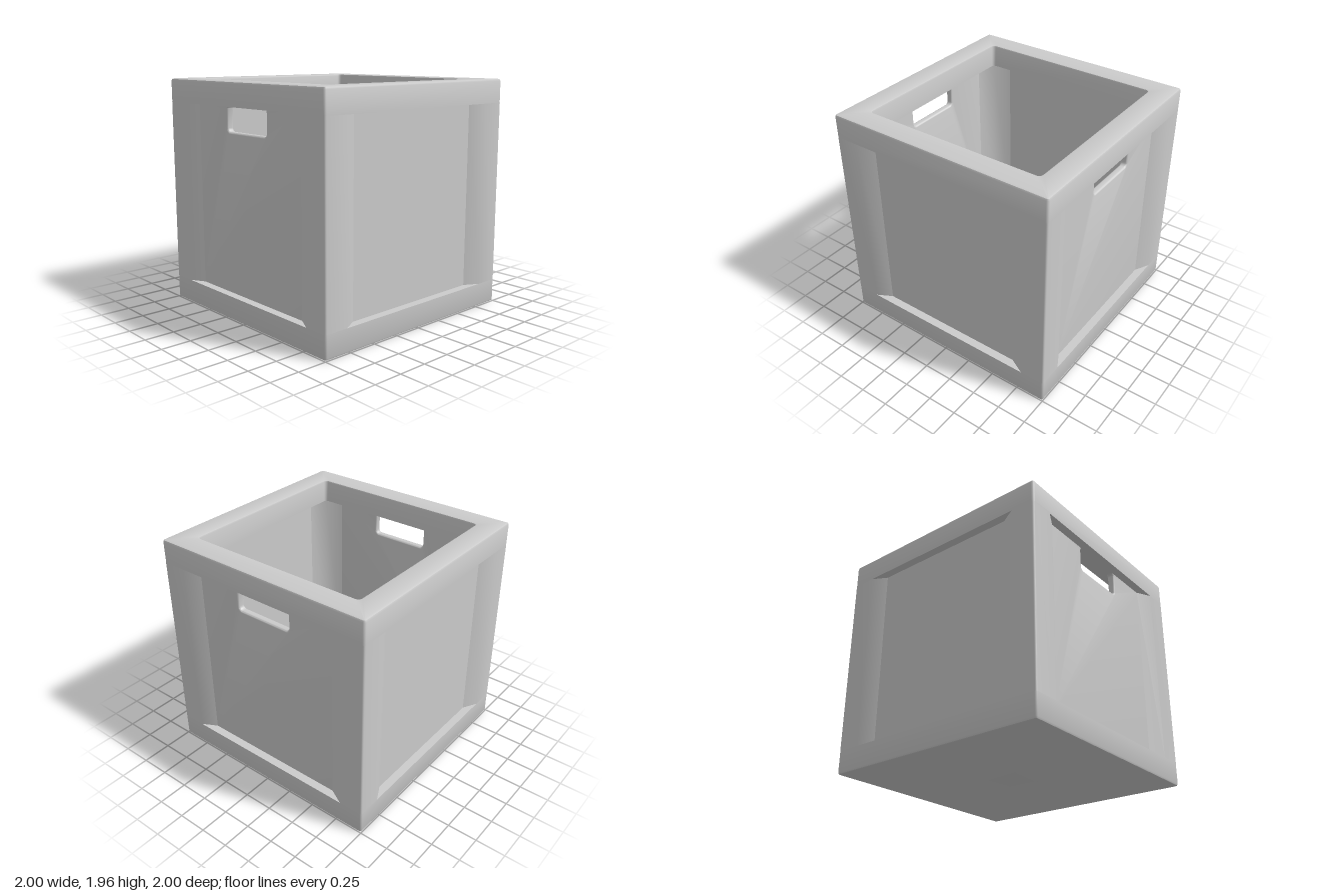
import * as THREE from 'three';
import { toCreasedNormals } from 'three/addons/utils/BufferGeometryUtils.js';

const material = new THREE.MeshStandardMaterial({ color: 0xcccccc });

// Rail heights, and the wall surfaces measured from the centre
const BASE_TOP = 0.2, RIM_BOTTOM = 1.76, HEIGHT = 1.96;
const WALL_IN = 0.87, WALL_OUT = 0.93;

function addMesh(parent, name, geometry) {
  const mesh = new THREE.Mesh(toCreasedNormals(geometry, 0.7), material);
  mesh.name = name;
  parent.add(mesh);
  return mesh;
}

// Points round a square of half size h with corner radius r
function squareLoop(h, y, r, steps = 4) {
  const points = [];
  for (let k = 0; k < 4; k++) {
    const mid = (k + 0.5) * Math.PI / 2;
    const cx = Math.sign(Math.cos(mid)) * (h - r);
    const cz = Math.sign(Math.sin(mid)) * (h - r);
    for (let i = 0; i <= steps; i++) {
      const a = (k + i / steps) * Math.PI / 2;
      points.push([cx + r * Math.cos(a), y, cz + r * Math.sin(a)]);
    }
  }
  return points;
}

// Joins rounded squares, given as [half size, y, corner radius], into a surface
function loftSquares(profile) {
  const loops = profile.map(([h, y, r]) => squareLoop(h, y, r));
  const n = loops[0].length;
  const index = [];
  for (let j = 0; j < loops.length - 1; j++) {
    for (let i = 0; i < n; i++) {
      const next = (i + 1) % n;
      const a = j * n + i, b = a + n, c = j * n + next, d = c + n;
      index.push(a, b, c, b, d, c);
    }
  }
  const geometry = new THREE.BufferGeometry();
  geometry.setAttribute('position', new THREE.Float32BufferAttribute(loops.flat(2), 3));
  geometry.setIndex(index);
  return geometry;
}

// Corner post with sloped flanks that run into the recessed walls
function postGeometry() {
  const s = new THREE.Shape();
  s.moveTo(0.98, 1);
  s.lineTo(0.79, 1);
  s.lineTo(0.66, WALL_OUT);
  s.lineTo(0.66, WALL_IN);
  s.lineTo(0.8, 0.8);
  s.lineTo(WALL_IN, 0.66);
  s.lineTo(WALL_OUT, 0.66);
  s.lineTo(1, 0.79);
  s.lineTo(1, 0.98);
  s.quadraticCurveTo(1, 1, 0.98, 1);
  const geometry = new THREE.ExtrudeGeometry(s, {
    depth: RIM_BOTTOM - BASE_TOP, bevelEnabled: false, curveSegments: 4,
  });
  return geometry.rotateX(-Math.PI / 2).translate(0, BASE_TOP, 0);
}

// Wall with a rounded hand hole
function handleWallGeometry() {
  const wall = new THREE.Shape();
  wall.moveTo(-0.7, 0.17);
  wall.lineTo(0.7, 0.17);
  wall.lineTo(0.7, 1.79);
  wall.lineTo(-0.7, 1.79);
  wall.closePath();

  const x = 0.255, y0 = 1.55, y1 = RIM_BOTTOM, r = 0.03;
  const hole = new THREE.Path();
  hole.moveTo(-x + r, y0);
  hole.lineTo(x - r, y0);
  hole.absarc(x - r, y0 + r, r, -Math.PI / 2, 0);
  hole.absarc(x - r, y1 - r, r, 0, Math.PI / 2);
  hole.absarc(-x + r, y1 - r, r, Math.PI / 2, Math.PI);
  hole.absarc(-x + r, y0 + r, r, Math.PI, Math.PI * 1.5);
  wall.holes.push(hole);

  const bevel = 0.015;
  const geometry = new THREE.ExtrudeGeometry(wall, {
    depth: WALL_OUT - WALL_IN - 2 * bevel, curveSegments: 5,
    bevelThickness: bevel, bevelSize: bevel, bevelOffset: -bevel, bevelSegments: 3,
  });
  return geometry.translate(0, 0, WALL_IN + bevel);
}

export function createModel() {
  const crate = new THREE.Group();
  crate.name = 'crate';

  // Base with a sunken floor
  addMesh(crate, 'base', loftSquares([
    [0, 0, 0], [0.98, 0, 0.01], [0.994, 0.006, 0.015], [1, 0.02, 0.02],
    [1, BASE_TOP, 0.02], [0.8, BASE_TOP, 0.03], [0.8, 0.13, 0.03], [0, 0.13, 0],
  ]));

  // Sloped strips along two sides of the floor
  const wedge = new THREE.Shape();
  wedge.moveTo(0.66, 0.13);
  wedge.lineTo(0.81, 0.13);
  wedge.lineTo(0.81, 0.195);
  wedge.lineTo(0.8, 0.195);
  wedge.closePath();
  for (const side of [0, 1]) {
    const strip = new THREE.ExtrudeGeometry(wedge, { depth: 1.6, bevelEnabled: false });
    strip.translate(0, 0, -0.8);
    addMesh(crate, 'floorSlope', strip).rotation.y = side * Math.PI;
  }

  // Open top rim
  addMesh(crate, 'topRim', loftSquares([
    [1, RIM_BOTTOM, 0.02], [1, HEIGHT - 0.02, 0.02], [0.994, HEIGHT - 0.006, 0.015],
    [0.98, HEIGHT, 0.01], [0.815, HEIGHT, 0.04], [0.804, HEIGHT - 0.004, 0.035],
    [0.8, HEIGHT - 0.015, 0.03], [0.8, RIM_BOTTOM, 0.03], [1, RIM_BOTTOM, 0.02],
  ]));

  // Four posts, with hand-hole walls front and back and plain walls at the sides
  for (let k = 0; k < 4; k++) {
    const turn = k * Math.PI / 2;
    addMesh(crate, 'cornerPost', postGeometry()).rotation.y = turn;
    const plain = k % 2 === 1;
    const wall = plain
      ? new THREE.BoxGeometry(1.4, 1.62, WALL_OUT - WALL_IN).translate(0, 0.98, (WALL_IN + WALL_OUT) / 2)
      : handleWallGeometry();
    addMesh(crate, plain ? 'sideWall' : 'handleWall', wall).rotation.y = turn;
  }
  return crate;
}
